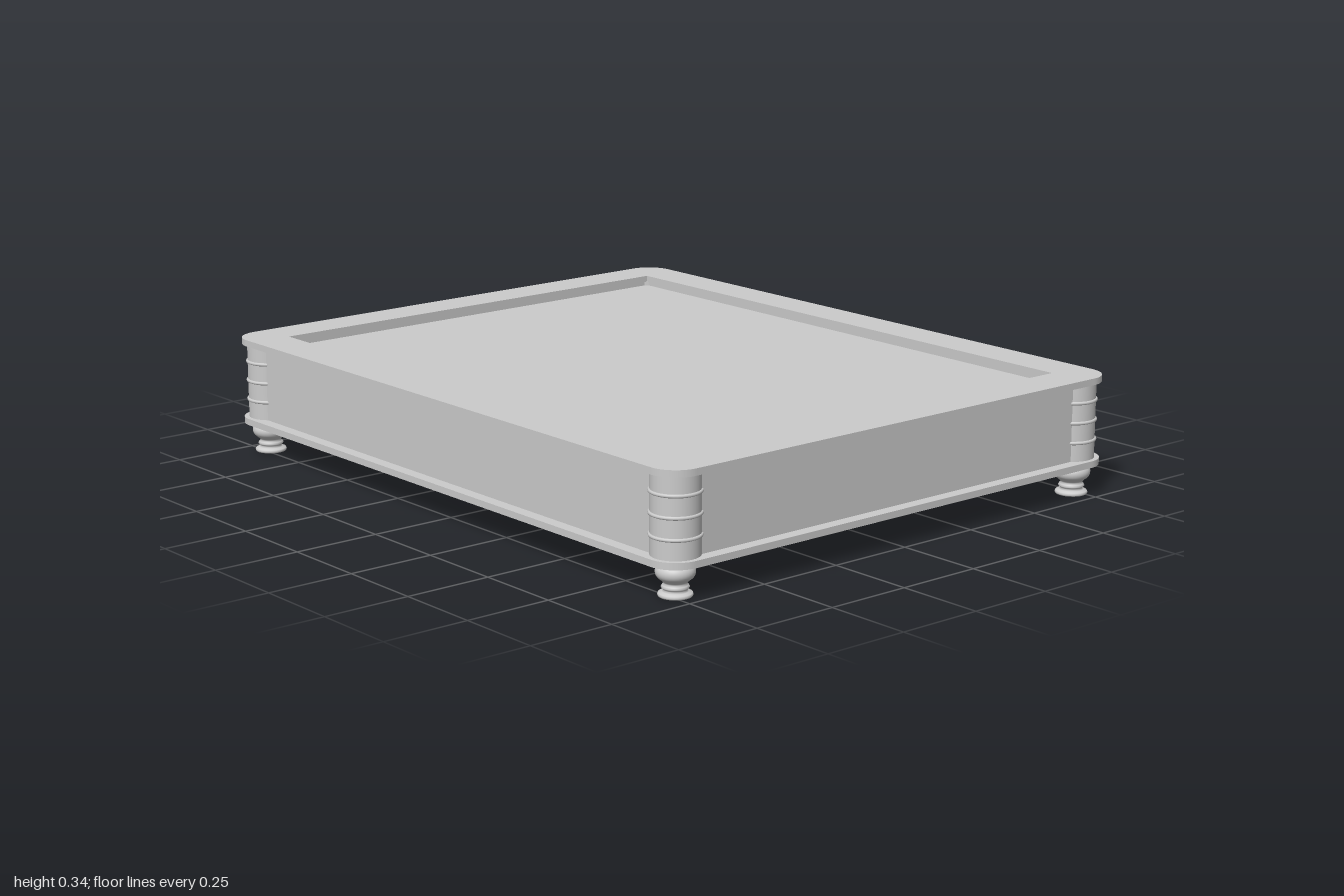
import * as THREE from 'three';

const material = new THREE.MeshStandardMaterial({ color: 0xcccccc });

// Outer half sizes, opening half sizes, corner column centre
const HX = 1, HZ = 0.808, OX = 0.88, OZ = 0.686;
const CX = 0.92, CZ = 0.728;
const BASE = 0.088, TOP = 0.345, PLATE = 0.019;

function roundedRect(hx, hz, r) {
  const s = new THREE.Shape();
  s.absarc(hx - r, hz - r, r, 0, Math.PI / 2);
  s.absarc(-hx + r, hz - r, r, Math.PI / 2, Math.PI);
  s.absarc(-hx + r, -hz + r, r, Math.PI, Math.PI * 1.5);
  s.absarc(hx - r, -hz + r, r, Math.PI * 1.5, Math.PI * 2);
  s.closePath();
  return s;
}

function rect(hx, hz, Type) {
  return new Type([[-hx, -hz], [hx, -hz], [hx, hz], [-hx, hz]].map(([x, y]) => new THREE.Vector2(x, y)));
}

// Horizontal frame with the rectangular opening, from y0 up to y1
function frame(shape, y0, y1) {
  shape.holes.push(rect(OX, OZ, THREE.Path));
  const g = new THREE.ExtrudeGeometry(shape, { depth: y1 - y0, bevelEnabled: false, curveSegments: 16 });
  return g.rotateX(-Math.PI / 2).translate(0, y0, 0);
}

function add(parent, name, geometry, x = 0, y = 0, z = 0) {
  const mesh = new THREE.Mesh(geometry, material);
  mesh.name = name;
  mesh.position.set(x, y, z);
  parent.add(mesh);
  return mesh;
}

// Turned bun foot: floor disc, ringed neck and round bulb
function footGeometry() {
  const bulb = [];
  for (let i = 0; i <= 10; i++) {
    const a = -1.1 + (i / 10) * 2.1;
    bulb.push([0.03 + 0.022 * Math.cos(a), 0.064 + 0.022 * Math.sin(a)]);
  }
  const profile = [
    [0, 0], [0.044, 0], [0.046, 0.004], [0.044, 0.009], [0.034, 0.012],
    [0.03, 0.016], [0.034, 0.02], [0.037, 0.024], [0.034, 0.029],
    [0.029, 0.033], [0.033, 0.038],
    ...bulb, [0.042, BASE], [0, BASE],
  ];
  return new THREE.LatheGeometry(profile.map(([r, y]) => new THREE.Vector2(r, y)), 32);
}

export function createModel() {
  const model = new THREE.Group();
  model.name = 'footedTray';

  // Rounded plates above and below the recessed walls
  add(model, 'bottomFrame', frame(roundedRect(HX, HZ, 0.08), BASE, BASE + PLATE));
  add(model, 'topFrame', frame(roundedRect(HX, HZ, 0.08), TOP - PLATE, TOP));
  add(model, 'walls', frame(rect(0.965, 0.773, THREE.Shape), BASE + PLATE, TOP - PLATE));

  // Sunken panels in both openings
  const panel = new THREE.BoxGeometry(OX * 2, 0.02, OZ * 2);
  add(model, 'topPanel', panel, 0, TOP - 0.04, 0);
  add(model, 'bottomPanel', panel, 0, BASE + PLATE + 0.01, 0);

  // Corner columns with three rings each, standing over the feet
  const height = TOP - BASE - PLATE * 2;
  const column = new THREE.CylinderGeometry(0.066, 0.066, height, 40);
  const ring = new THREE.TorusGeometry(0.066, 0.005, 8, 40).rotateX(Math.PI / 2);
  const foot = footGeometry();
  for (const sx of [1, -1]) {
    for (const sz of [1, -1]) {
      const corner = new THREE.Group();
      corner.name = (sz > 0 ? 'front' : 'back') + (sx > 0 ? 'Left' : 'Right') + 'Corner';
      corner.position.set(sx * CX, 0, sz * CZ);
      add(corner, 'column', column, 0, (TOP + BASE) / 2, 0);
      for (const y of [0.16, 0.217, 0.274]) add(corner, 'ring', ring, 0, y, 0);
      add(corner, 'foot', foot, sx * 0.004, 0, sz * 0.004);
      model.add(corner);
    }
  }
  return model;
}
